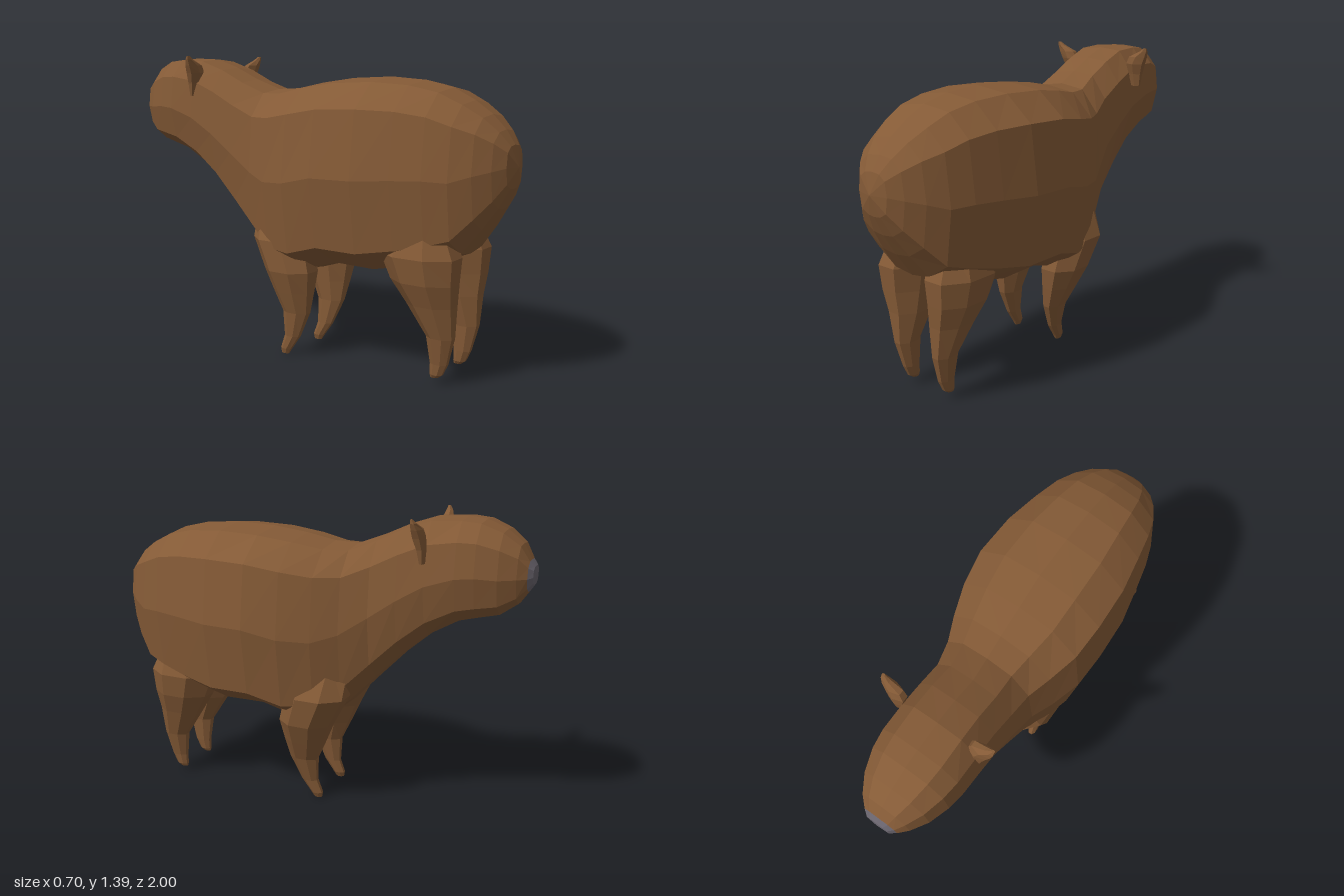
import * as THREE from 'three';

const fur = new THREE.MeshStandardMaterial({ color: 0x845a36, flatShading: true });
const noseSkin = new THREE.MeshStandardMaterial({ color: 0x68636c, flatShading: true });

// Skin a list of closed rings; optional points close the two ends
function loft(name, rings, material, startPoint, endPoint) {
  const n = rings[0].length;
  const pos = [];
  const tri = (...pts) => pts.forEach((p) => pos.push(...p));
  for (let j = 0; j < n; j++) {
    const k = (j + 1) % n;
    for (let i = 0; i < rings.length - 1; i++) {
      const r = rings[i], q = rings[i + 1];
      tri(r[j], r[k], q[j]);
      tri(r[k], q[k], q[j]);
    }
    const first = rings[0], last = rings[rings.length - 1];
    if (startPoint) tri(startPoint, first[k], first[j]);
    if (endPoint) tri(endPoint, last[j], last[k]);
  }
  const geometry = new THREE.BufferGeometry();
  geometry.setAttribute('position', new THREE.Float32BufferAttribute(pos, 3));
  geometry.computeVertexNormals();
  const mesh = new THREE.Mesh(geometry, material);
  mesh.name = name;
  return mesh;
}

// Half cross-sections as fractions of half width and height, top to bottom
const torsoHalf = [[0, 1], [0.51, 0.975], [0.89, 0.845], [1, 0.5], [0.87, 0.13], [0.42, 0.02], [0, 0]];
const headHalf = [[0, 1], [0.56, 0.98], [0.91, 0.8], [1, 0.46], [0.83, 0.14], [0.42, 0.01], [0, 0]];

function bodyRing([z, top, bottom, halfWidth, cx]) {
  const t = THREE.MathUtils.clamp((-0.1 - z) / 0.4, 0, 1);
  const half = torsoHalf.map(([x, y], i) => [
    THREE.MathUtils.lerp(x, headHalf[i][0], t),
    THREE.MathUtils.lerp(y, headHalf[i][1], t),
  ]);
  const mirrored = half.slice(1, -1).reverse().map(([x, y]) => [-x, y]);
  return [...half, ...mirrored].map(([x, y]) => [cx + x * halfWidth, bottom + y * (top - bottom), z]);
}

// Tapered limb from rows of [y, x, z, radiusX, radiusZ]; shift moves each row sideways
function limb(name, rows, side, shift, sides) {
  const turn = rows[0][0] > rows[rows.length - 1][0] ? 1 : -1;
  const rings = rows.map(([y, x, z, rx, rz]) =>
    Array.from({ length: sides }, (_, j) => {
      const a = turn * ((j + 0.5) / sides) * Math.PI * 2;
      return [side * x + shift(y) + rx * Math.cos(a), y, z + rz * Math.sin(a)];
    }));
  const centre = ([y, x, z]) => [side * x + shift(y), y, z];
  return loft(name, rings, fur, centre(rows[0]), centre(rows[rows.length - 1]));
}

export function createModel() {
  const model = new THREE.Group();
  model.name = 'animal';

  // Torso, neck and head in one skin: z, top, bottom, half width, centre x
  const rings = [
    [0.98, 1.04, 0.86, 0.08, 0],
    [0.94, 1.1, 0.775, 0.135, 0],
    [0.88, 1.16, 0.68, 0.19, 0],
    [0.8, 1.215, 0.57, 0.24, 0],
    [0.7, 1.265, 0.53, 0.275, 0],
    [0.57, 1.295, 0.49, 0.305, 0],
    [0.4, 1.308, 0.455, 0.34, 0],
    [0.2, 1.3, 0.46, 0.35, 0],
    [0.04, 1.278, 0.41, 0.33, -0.01],
    [-0.1, 1.25, 0.42, 0.282, -0.015],
    [-0.21, 1.245, 0.51, 0.235, -0.025],
    [-0.33, 1.29, 0.64, 0.21, -0.045],
    [-0.45, 1.345, 0.765, 0.204, -0.05],
    [-0.57, 1.385, 0.87, 0.202, -0.058],
    [-0.7, 1.39, 0.945, 0.2, -0.063],
    [-0.78, 1.382, 0.965, 0.188, -0.065],
    [-0.87, 1.345, 0.985, 0.158, -0.065],
    [-0.94, 1.29, 1.035, 0.115, -0.065],
    [-0.977, 1.225, 1.09, 0.08, -0.065],
  ].map(bodyRing);
  model.add(loft('body', rings, fur, [0, 0.95, 1]));

  // Nose pad closing the muzzle
  const noseTip = bodyRing([-0.996, 1.2, 1.12, 0.055, -0.065]);
  model.add(loft('nose', [rings[rings.length - 1], noseTip], noseSkin, null, [-0.065, 1.165, -1]));

  // Thighs and shoulders start inside the torso and emerge flush with its sides
  const hindLeg = [
    [0.72, 0.12, 0.65, 0.09, 0.1],
    [0.57, 0.132, 0.64, 0.125, 0.185],
    [0.46, 0.13, 0.66, 0.108, 0.155],
    [0.36, 0.116, 0.688, 0.083, 0.115],
    [0.22, 0.108, 0.73, 0.045, 0.065],
    [0.1, 0.1, 0.722, 0.028, 0.042],
    [0.05, 0.1, 0.71, 0.022, 0.03],
    [0.035, 0.1, 0.7, 0.012, 0.018],
  ];
  const frontLeg = [
    [0.74, 0.1, -0.11, 0.09, 0.14],
    [0.56, 0.148, -0.085, 0.128, 0.155],
    [0.42, 0.145, -0.03, 0.105, 0.135],
    [0.32, 0.128, -0.015, 0.075, 0.105],
    [0.22, 0.11, 0, 0.045, 0.072],
    [0.1, 0.092, -0.022, 0.027, 0.042],
    [0.035, 0.085, -0.055, 0.022, 0.03],
    [0.01, 0.083, -0.06, 0.012, 0.02],
  ];
  const ear = [
    [1.21, 0.195, -0.57, 0.025, 0.012],
    [1.27, 0.195, -0.565, 0.038, 0.022],
    [1.32, 0.2, -0.555, 0.052, 0.03],
    [1.355, 0.217, -0.55, 0.05, 0.025],
    [1.382, 0.25, -0.545, 0.022, 0.015],
    [1.4, 0.262, -0.54, 0.008, 0.006],
  ];
  for (const side of [1, -1]) {
    const label = side > 0 ? 'left' : 'right';
    // The right front leg stands wider than the left
    const stance = (y) => (side < 0 ? -0.1 * Math.max(0, 1 - y / 0.6) : 0);
    model.add(limb(label + 'HindLeg', hindLeg, side, () => (side < 0 ? -0.02 : 0), 8));
    model.add(limb(label + 'FrontLeg', frontLeg, side, stance, 8));
    model.add(limb(label + 'Ear', ear, side, () => -0.037, 6));
  }
  return model;
}
